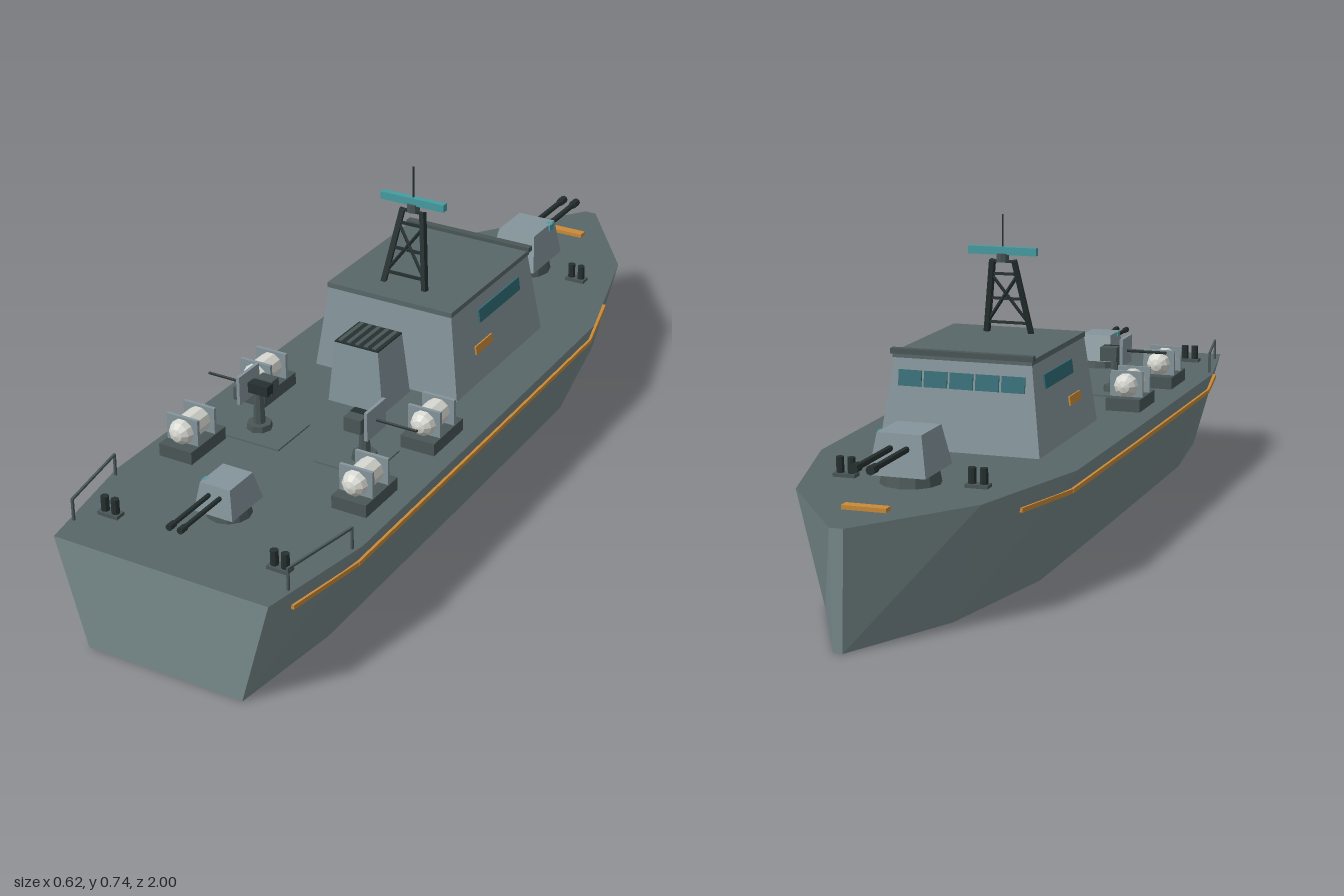
import * as THREE from 'three';

const mat = (name, color) => {
  const m = new THREE.MeshStandardMaterial({ color, flatShading: true });
  m.name = name;
  return m;
};

export function createModel() {
  const M = {
    hull: mat('hull grey', 0x77898b),
    house: mat('light grey', 0x84959b),
    deck: mat('deck grey', 0x586768),
    trim: mat('dark grey', 0x4a5657),
    metal: mat('gunmetal', 0x263030),
    white: mat('raft white', 0xd8d8d2),
    teal: mat('radar teal', 0x459ba0),
    glass: mat('window teal', 0x2f6c75),
    orange: mat('orange', 0xc98a38),
  };
  const boat = new THREE.Group();
  boat.name = 'patrolBoat';

  // helpers
  const add = (parent, name, geo, m, x = 0, y = 0, z = 0) => {
    const mesh = new THREE.Mesh(geo, m);
    mesh.name = name;
    mesh.position.set(x, y, z);
    parent.add(mesh);
    return mesh;
  };
  const group = (name, x, y, z, ry = 0, s = 1) => {
    const g = new THREE.Group();
    g.name = name;
    g.position.set(x, y, z);
    g.rotation.y = ry;
    g.scale.setScalar(s);
    boat.add(g);
    return g;
  };
  const box = (w, h, d) => new THREE.BoxGeometry(w, h, d);
  const cyl = (r0, r1, h, n = 8) => new THREE.CylinderGeometry(r0, r1, h, n);
  const V = (x, y, z) => new THREE.Vector3(x, y, z);
  // square bar between two points
  const bar = (parent, name, a, b, t, m, h = t) => {
    const d = b.clone().sub(a), c = a.clone().add(b).multiplyScalar(0.5);
    const mesh = add(parent, name, box(t, h, d.length()), m, c.x, c.y, c.z);
    mesh.quaternion.setFromUnitVectors(V(0, 0, 1), d.normalize());
    return mesh;
  };
  // tapered block standing on y = 0: half width, back z, front z at bottom and top
  const taper = (h, [wb, z0b, z1b], [wt, z0t, z1t]) => {
    const g = box(2, h, 2).translate(0, h / 2, 0), p = g.attributes.position;
    for (let i = 0; i < p.count; i++) {
      const top = p.getY(i) > h / 2, front = p.getZ(i) > 0;
      p.setX(i, p.getX(i) * (top ? wt : wb));
      p.setZ(i, top ? (front ? z1t : z0t) : (front ? z1b : z0b));
    }
    g.computeVertexNormals();
    return g;
  };

  // hull from stations: z, half width at deck, half width at bottom
  const H = 0.25;
  const stations = [[-1, 0.015, 0.01], [-0.74, 0.202, 0.14], [-0.4, 0.295, 0.212],
    [0.1, 0.302, 0.218], [0.72, 0.308, 0.222], [1, 0.26, 0.19]];
  const hullPos = [], deckPos = [];
  const quad = (out, a, b, c, d) => [a, b, c, a, c, d].forEach(v => out.push(...v));
  const T = (i, s) => [s * stations[i][1], H, stations[i][0]];
  const B = (i, s) => [s * stations[i][2], 0, stations[i][0]];
  const last = stations.length - 1;
  for (let i = 0; i < last; i++) {
    quad(hullPos, B(i + 1, 1), B(i, 1), T(i, 1), T(i + 1, 1));
    quad(hullPos, B(i, -1), B(i + 1, -1), T(i + 1, -1), T(i, -1));
    quad(hullPos, B(i, -1), B(i, 1), B(i + 1, 1), B(i + 1, -1));
    quad(deckPos, T(i + 1, -1), T(i + 1, 1), T(i, 1), T(i, -1));
  }
  quad(hullPos, B(0, 1), B(0, -1), T(0, -1), T(0, 1));
  quad(hullPos, B(last, -1), B(last, 1), T(last, 1), T(last, -1));
  const fromPos = pos => {
    const g = new THREE.BufferGeometry();
    g.setAttribute('position', new THREE.Float32BufferAttribute(pos, 3));
    g.computeVertexNormals();
    return g;
  };
  add(boat, 'hull', fromPos(hullPos), M.hull);
  add(boat, 'deck', fromPos(deckPos), M.deck);
  const hullX = (z, y) => {
    const i = Math.max(0, stations.findIndex(s => s[0] >= z) - 1);
    const a = stations[i], b = stations[i + 1], t = (z - a[0]) / (b[0] - a[0]), k = y / H;
    return (a[1] + (b[1] - a[1]) * t) * k + (a[2] + (b[2] - a[2]) * t) * (1 - k);
  };

  // rub rails and stern handrails along the hull sides
  for (const s of [1, -1]) {
    const zs = [0.92, 0.72, 0.1, -0.4, -0.59];
    for (let i = 0; i < zs.length - 1; i++) {
      const p = z => V(s * (hullX(z, 0.205) + 0.001), 0.205, z);
      bar(boat, 'rubRail', p(zs[i]), p(zs[i + 1]), 0.014, M.orange, 0.01);
    }
    const q = (z, y) => V(s * (hullX(z, H) - 0.01), y, z);
    bar(boat, 'handrailPost', q(0.74, 0.25), q(0.74, 0.3), 0.005, M.trim);
    bar(boat, 'handrailPost', q(0.93, 0.25), q(0.93, 0.3), 0.005, M.trim);
    bar(boat, 'handrailTop', q(0.738, 0.3), q(0.932, 0.3), 0.005, M.trim);
  }

  // wheelhouse with roof, windows and side plates
  add(boat, 'wheelhouse', taper(0.2, [0.187, -0.328, 0.097], [0.16, -0.3, 0.078]), M.house, 0, H, 0);
  add(boat, 'roof', box(0.324, 0.012, 0.386), M.deck, 0, 0.455, -0.112);
  add(boat, 'roofLip', box(0.332, 0.012, 0.018), M.trim, 0, 0.464, -0.302);
  const wallX = y => 0.187 - 0.027 * (y - H) / 0.2;
  for (const s of [1, -1]) {
    const plate = (name, y, z, h, d, m) => {
      add(boat, name, box(0.008, h, d), m, s * wallX(y), y, z).rotation.z = s * 0.134;
    };
    plate('sideWindow', 0.402, -0.14, 0.032, 0.2, M.glass);
    plate('sidePlate', 0.33, -0.048, 0.02, 0.08, M.orange);
  }
  for (let i = -2; i <= 2; i++) {
    add(boat, 'frontWindow', box(0.054, 0.036, 0.008), M.glass, i * 0.06, 0.405, -0.3063).rotation.x = 0.139;
  }

  // funnel with grille
  add(boat, 'funnel', taper(0.15, [0.071, 0.108, 0.232], [0.056, 0.118, 0.226]), M.house, 0, H, 0);
  add(boat, 'funnelCap', box(0.112, 0.004, 0.108), M.metal, 0, 0.401, 0.172);
  for (let i = -2; i <= 2; i++) add(boat, 'grilleBar', box(0.01, 0.004, 0.1), M.trim, i * 0.022, 0.404, 0.172);

  // leaning lattice mast with radar and aerial
  const m = (x, y) => V(x, y, 0.01 - 0.04 * (y - 0.46) / 0.175);
  const legX = y => 0.054 - 0.028 * (y - 0.46) / 0.175;
  for (const s of [1, -1]) {
    bar(boat, 'mastLeg', m(s * 0.054, 0.46), m(s * 0.026, 0.635), 0.012, M.metal);
    bar(boat, 'mastBrace', m(s * legX(0.485), 0.485), m(-s * legX(0.6), 0.6), 0.006, M.metal);
  }
  for (const y of [0.485, 0.543, 0.602]) {
    bar(boat, 'mastRung', m(-legX(y), y), m(legX(y), y), 0.006, M.metal);
  }
  bar(boat, 'mastHead', m(-0.03, 0.632), m(0.03, 0.632), 0.006, M.metal);
  add(boat, 'radarHub', cyl(0.015, 0.015, 0.02), M.trim, 0, 0.641, -0.033);
  add(boat, 'radarBar', box(0.164, 0.018, 0.016), M.teal, 0, 0.657, -0.033);
  add(boat, 'aerial', cyl(0.002, 0.002, 0.075, 6), M.metal, 0, 0.703, -0.033);

  // twin gun turrets, facing forward at the bow and aft at the stern
  const turret = (name, z, ry, s) => {
    const g = group(name, 0, H, z, ry, s);
    add(g, 'turretRing', cyl(0.06, 0.066, 0.03, 12), M.trim, 0, 0.015, 0);
    add(g, 'turretBody', taper(0.088, [0.063, -0.078, 0.076], [0.049, -0.064, 0.05]), M.house, 0, 0.028, 0);
    add(g, 'sight', box(0.016, 0.016, 0.022), M.teal, 0.046, 0.108, -0.04);
    for (const x of [0.018, -0.018]) {
      add(g, 'barrel', cyl(0.007, 0.007, 0.2), M.metal, x, 0.085, -0.155).rotation.x = Math.PI / 2;
      add(g, 'muzzle', cyl(0.01, 0.01, 0.026), M.metal, x, 0.085, -0.247).rotation.x = Math.PI / 2;
    }
  };
  turret('bowTurret', -0.61, 0, 1);
  turret('sternTurret', 0.745, Math.PI, 0.75);
  add(boat, 'bowPlate', box(0.096, 0.009, 0.024), M.orange, 0, H + 0.0045, -0.852);

  for (const s of [1, -1]) {
    // side machine gun on a pedestal
    const g = group('sideGun', s * 0.135, H, 0.42, -s * Math.PI / 2);
    add(g, 'deckPlate', box(0.13, 0.004, 0.14), M.deck, 0, 0.002, 0.02);
    add(g, 'pedestalBase', cyl(0.028, 0.03, 0.018), M.trim, 0, 0.009, 0);
    add(g, 'pedestal', cyl(0.01, 0.014, 0.08), M.trim, 0, 0.055, 0);
    add(g, 'receiver', box(0.024, 0.024, 0.05), M.metal, 0, 0.104, 0.005);
    add(g, 'ammoBox', box(0.028, 0.034, 0.042), M.trim, 0.027, 0.101, 0.006);
    add(g, 'gunShield', box(0.08, 0.068, 0.008), M.house, 0, 0.106, -0.027);
    add(g, 'barrel', cyl(0.0035, 0.0035, 0.12, 6), M.metal, 0, 0.106, -0.07).rotation.x = Math.PI / 2;

    // life raft canisters in cradles
    for (const z of [0.27, 0.56]) {
      const r = group('lifeRaft', s * 0.218, H, z);
      add(r, 'cradleBase', box(0.084, 0.03, 0.132), M.trim, 0, 0.015, 0);
      add(r, 'canister', new THREE.CapsuleGeometry(0.03, 0.07, 3, 10), M.white, 0, 0.058, 0).rotation.x = Math.PI / 2;
      for (const dz of [0.032, -0.032]) add(r, 'cradlePlate', box(0.08, 0.064, 0.008), M.house, 0, 0.06, dz);
    }

    // mooring bollards
    for (const [x, z] of [[0.208, 0.875], [0.147, -0.607]]) {
      const b = group('bollard', s * x, H, z);
      add(b, 'bollardBase', box(0.05, 0.008, 0.026), M.trim, 0, 0.004, 0);
      for (const dx of [0.013, -0.013]) add(b, 'bollardPost', cyl(0.009, 0.009, 0.036), M.metal, dx, 0.024, 0);
    }
  }
  return boat;
}
